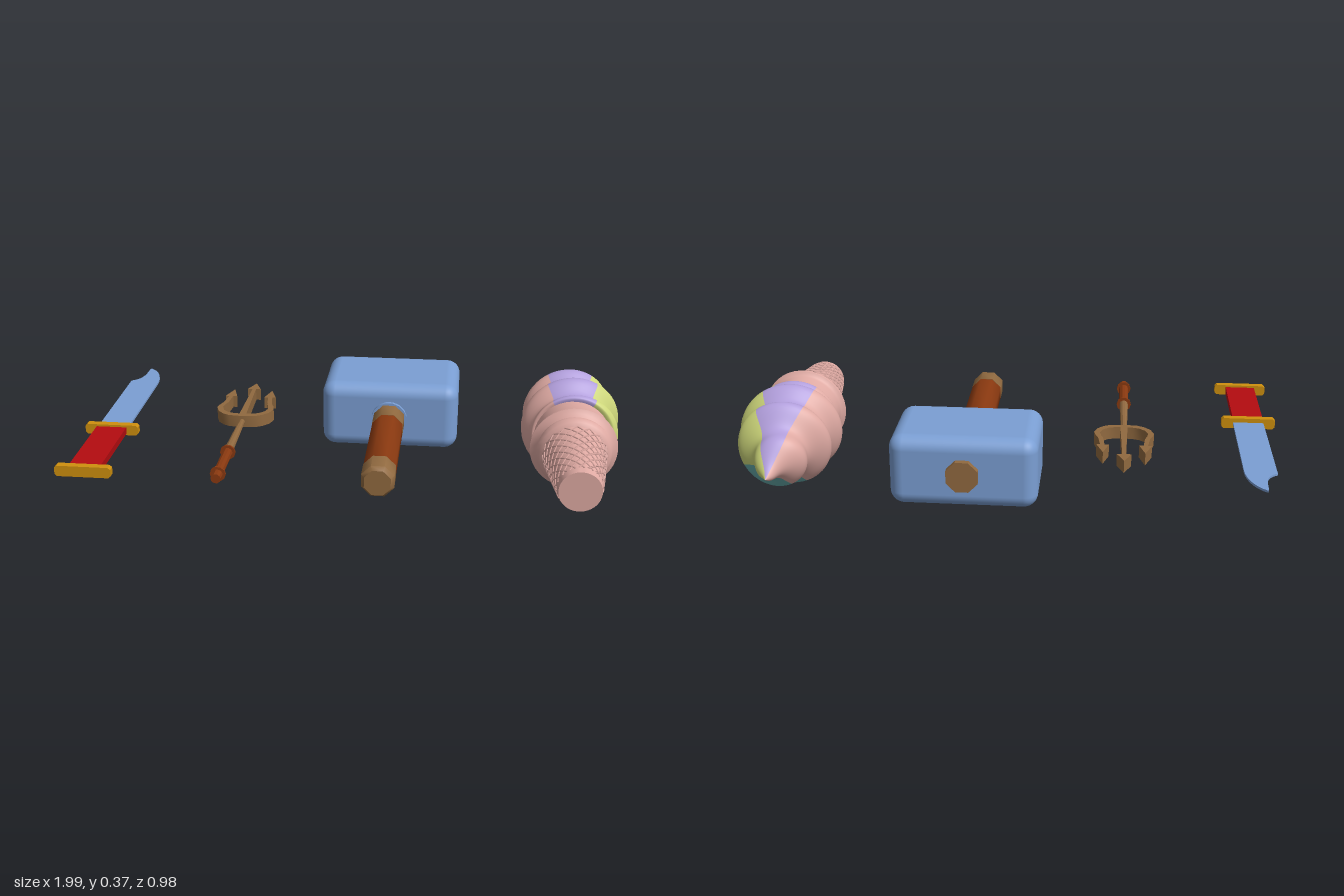
import * as THREE from 'three';
import { toCreasedNormals } from 'three/addons/utils/BufferGeometryUtils.js';
import { RoundedBoxGeometry } from 'three/addons/geometries/RoundedBoxGeometry.js';

const mat = (name, color) => {
  const m = new THREE.MeshStandardMaterial({ color });
  m.name = name;
  return m;
};

export function createModel() {
  const blue = mat('steel blue', 0x7b9fd4), red = mat('grip red', 0xb40c10);
  const gold = mat('gold', 0xcf900e), brown = mat('wood brown', 0x8a3910);
  const tan = mat('bronze tan', 0x916a40), pink = mat('waffle pink', 0xdfaaa3);
  const purple = mat('cream purple', 0xb19edb), lime = mat('cream lime', 0xcdd67a);
  const teal = mat('cream teal', 0x66acab);

  const model = new THREE.Group();
  const group = (name, x, y) => {
    const g = new THREE.Group();
    g.name = name;
    g.position.set(x, y, 0);
    model.add(g);
    return g;
  };
  const add = (parent, name, geometry, material) => {
    const m = new THREE.Mesh(geometry, material);
    m.name = name;
    parent.add(m);
    return m;
  };
  // Solid of revolution along z; profile is [radius, z] with z rising
  const turned = (profile, sides, crease = 0.6) => {
    const g = new THREE.LatheGeometry(profile.map(([r, z]) => new THREE.Vector2(r, z)), sides);
    g.rotateY(Math.PI / sides);
    g.rotateX(Math.PI / 2);
    return toCreasedNormals(g, crease);
  };
  const rod = (r0, r1, z0, z1, sides, crease) =>
    turned([[0, z0], [r0, z0], [r1, z1], [0, z1]], sides, crease);
  // Flat plate lying in the xz plane; shape y runs towards -z
  const plate = (shape, thick) => {
    const g = new THREE.ExtrudeGeometry(shape, { depth: thick, bevelEnabled: false, curveSegments: 10 });
    g.translate(0, 0, -thick / 2);
    g.rotateX(-Math.PI / 2);
    return toCreasedNormals(g, 0.5);
  };

  // Knife
  const knife = group('knife', -0.9, 0.177);
  const blade = new THREE.Shape();
  blade.moveTo(-0.057, -0.11);
  blade.lineTo(0.057, -0.11);
  blade.lineTo(0.057, 0.34);
  blade.bezierCurveTo(0.055, 0.4, 0.035, 0.46, -0.008, 0.49);
  blade.bezierCurveTo(-0.022, 0.47, 0.005, 0.38, -0.057, 0.35);
  add(knife, 'blade', plate(blade, 0.008), blue);
  add(knife, 'grip', new THREE.BoxGeometry(0.113, 0.024, 0.34).translate(0, 0, 0.295), red);
  for (const [name, z] of [['guard', 0.115], ['pommel', 0.472]]) {
    const bar = new THREE.Shape();
    [[-0.1, -0.012], [-0.092, -0.02], [0.092, -0.02], [0.1, -0.012],
      [0.1, 0.012], [0.092, 0.02], [-0.092, 0.02], [-0.1, 0.012]]
      .forEach(([x, y], i) => (i ? bar.lineTo(x, y) : bar.moveTo(x, y)));
    const g = new THREE.ExtrudeGeometry(bar, { depth: 0.026, bevelEnabled: false });
    add(knife, name, g.translate(0, 0, z - 0.013), gold);
  }

  // Trident
  const trident = group('trident', -0.43, 0.175);
  const half = [[0.05, 0.005], [0.075, 0.018], [0.098, 0.042], [0.11, 0.078], [0.104, 0.105],
    [0.094, 0.13], [0.086, 0.19], [0.1, 0.19], [0.075, 0.26], [0.054, 0.19], [0.07, 0.19],
    [0.076, 0.13], [0.084, 0.105], [0.088, 0.08], [0.078, 0.052], [0.058, 0.034],
    [0.035, 0.026], [0.013, 0.024], [0.007, 0.27], [0.026, 0.27]];
  const outline = [[0, 0], ...half, [0, 0.33], ...half.map(([x, y]) => [-x, y]).reverse()];
  const fork = new THREE.Shape(outline.map(([x, y]) => new THREE.Vector2(x, y)));
  add(trident, 'fork', plate(fork, 0.046), tan);
  add(trident, 'shaft', rod(0.011, 0.017, -0.015, 0.275, 10), tan);
  add(trident, 'grip', rod(0.018, 0.018, 0.27, 0.485, 10), brown);
  for (const z of [0.27, 0.445]) add(trident, 'gripRing', rod(0.028, 0.028, z - 0.004, z + 0.004, 10), brown);

  // Hammer
  const hammer = group('hammer', 0.125, 0.172);
  add(hammer, 'head', new RoundedBoxGeometry(0.52, 0.26, 0.345, 5, 0.05).translate(0, 0, -0.268), blue);
  add(hammer, 'headBoss', rod(0.068, 0.068, -0.11, -0.083, 16), blue);
  add(hammer, 'topNub', rod(0.06, 0.06, -0.462, -0.42, 8, 0.5), tan);
  add(hammer, 'collar', rod(0.062, 0.062, -0.1, 0.005, 8, 0.9), tan);
  add(hammer, 'handle', rod(0.061, 0.061, 0.005, 0.36, 8, 0.9), brown);
  add(hammer, 'handleCap',
    turned([[0, 0.36], [0.062, 0.36], [0.062, 0.44], [0.05, 0.457], [0, 0.457]], 8, 0.9), tan);

  // Ice cream cone
  const ice = group('iceCream', 0.81, 0.175);
  add(ice, 'cone', turned([[0, -0.02], [0.139, -0.02], [0.139, 0.09], [0.143, 0.1], [0.157, 0.108],
    [0.158, 0.116], [0.143, 0.125], [0.134, 0.137], [0.136, 0.152], [0.128, 0.168],
    [0.114, 0.176], [0.074, 0.458], [0, 0.458]], 40, 0.7), pink);

  // Crossed spiral ribs of the waffle
  const ribs = 16;
  for (const dir of [1, -1]) {
    for (let k = 0; k < ribs; k++) {
      const pts = [];
      for (let i = 0; i <= 16; i++) {
        const t = i / 16, a = (k / ribs) * Math.PI * 2 + dir * t * 2.5;
        const r = 0.1145 - 0.0365 * t;
        pts.push(new THREE.Vector3(r * Math.cos(a), r * Math.sin(a), 0.175 + 0.257 * t));
      }
      add(ice, 'waffleRib', new THREE.TubeGeometry(new THREE.CatmullRomCurve3(pts), 24, 0.0035, 4), pink);
    }
  }

  // Swirled cream: a spiral bulge on a tapering envelope, in four coloured sectors
  const envelope = [[0.004, 0.125], [0.008, 0.15], [-0.005, 0.158], [-0.03, 0.162], [-0.1, 0.165],
    [-0.18, 0.16], [-0.25, 0.145], [-0.3, 0.122], [-0.35, 0.09], [-0.4, 0.053], [-0.44, 0.024], [-0.478, 0]];
  const curve = new THREE.CatmullRomCurve3(envelope.map(([z, r]) => new THREE.Vector3(r, 0, z)));
  const rows = 80, cols = 60, pos = [], index = [];
  for (let i = 0; i <= rows; i++) {
    const p = curve.getPoint(i / rows), r0 = Math.max(p.x, 0);
    const amp = 0.02 * Math.min(1, r0 / 0.12) * THREE.MathUtils.clamp((0.015 - p.z) / 0.05, 0.2, 1);
    const sag = -0.032 * THREE.MathUtils.smoothstep(-p.z, 0.3, 0.478);
    for (let j = 0; j < cols; j++) {
      const a = (j / cols) * Math.PI * 2;
      const r = r0 + amp * Math.cos((Math.PI * 2 * (p.z + 0.145)) / 0.14 - a);
      pos.push(r * Math.cos(a), r * Math.sin(a) + sag, p.z);
    }
  }
  for (let j = 0; j < cols; j++) {
    const n = (j + 1) % cols;
    for (let i = 0; i < rows; i++) {
      const a = i * cols + j, b = a + cols, c = i * cols + n, d = c + cols;
      index.push(a, b, c, b, d, c);
    }
  }
  const cream = new THREE.BufferGeometry();
  cream.setAttribute('position', new THREE.Float32BufferAttribute(pos, 3));
  cream.setIndex(index);
  cream.computeVertexNormals();
  // Sector limits as column numbers, six degrees each
  [[0, 10, 0], [10, 20, 1], [20, 41, 2], [41, 56, 3], [56, 60, 0]].forEach(([from, to, m]) =>
    cream.addGroup(from * rows * 6, (to - from) * rows * 6, m));
  add(ice, 'creamSwirl', cream, [lime, purple, pink, teal]);

  return model;
}
